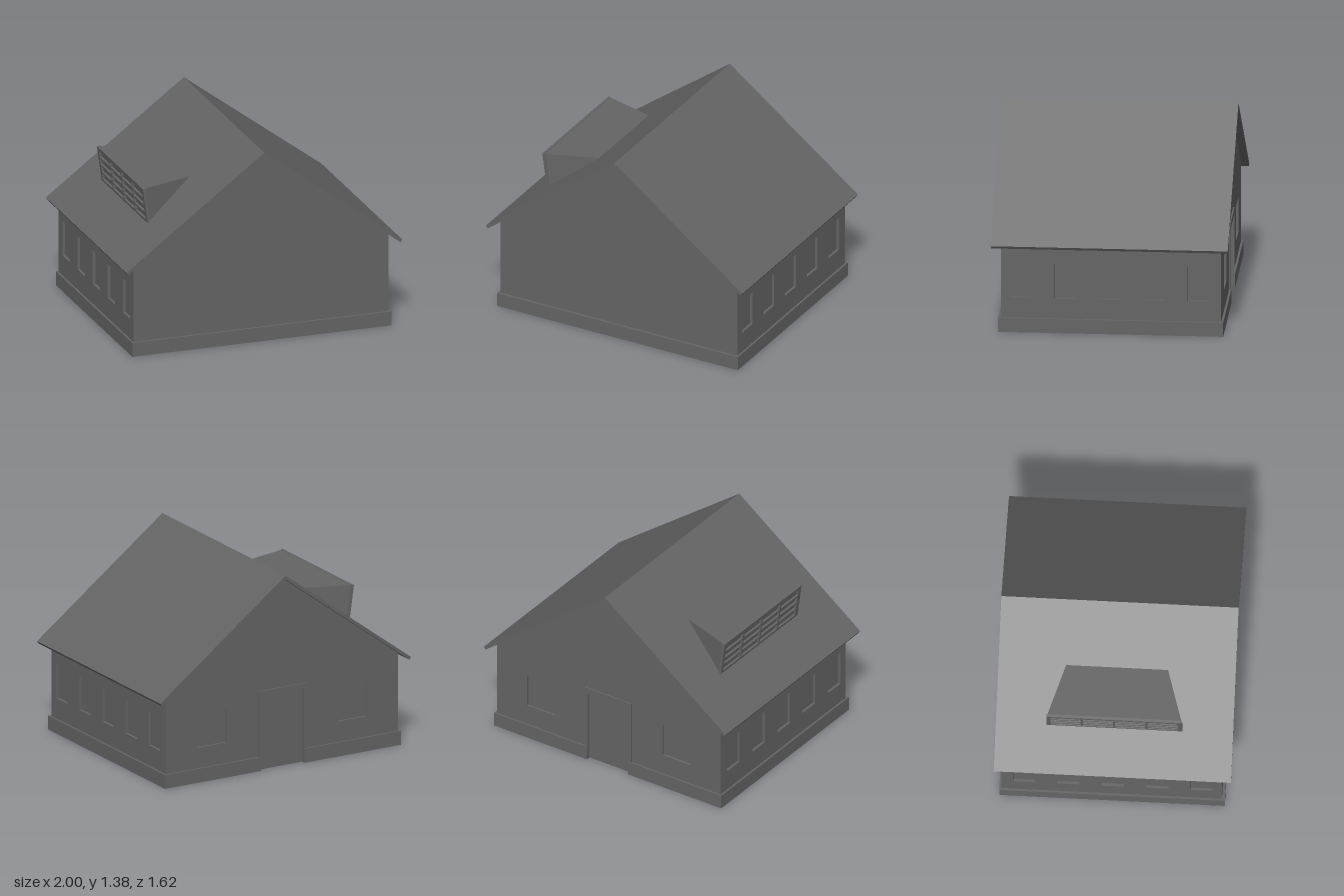
import * as THREE from 'three';

const WALL_X = 0.925, FRONT_Z = 0.745, BACK_Z = -0.76;
const WALL_T = 0.03, BASE_H = 0.1, RIDGE = 1.38, SLOPE = 0.75, ROOF_T = 0.028;
const UNDER = RIDGE - ROOF_T;
const EAVE_Y = UNDER - SLOPE * WALL_X;

export function createModel() {
  const house = new THREE.Group();
  house.name = 'house';
  const grey = new THREE.MeshStandardMaterial({ color: 0x646464, side: THREE.DoubleSide });
  grey.name = 'plain grey';

  const add = (name, geometry, parent = house) => {
    const mesh = new THREE.Mesh(geometry, grey);
    mesh.name = name;
    parent.add(mesh);
    return mesh;
  };
  // Box given by its two opposite corners
  const block = (name, x0, x1, y0, y1, z0, z1, parent) => {
    const mesh = add(name, new THREE.BoxGeometry(x1 - x0, y1 - y0, z1 - z0), parent);
    mesh.position.set((x0 + x1) / 2, (y0 + y1) / 2, (z0 + z1) / 2);
    return mesh;
  };
  const polygon = pts => new THREE.Shape(pts.map(p => new THREE.Vector2(...p)));
  const rect = (x0, x1, y0, y1) => [[x0, y0], [x0, y1], [x1, y1], [x1, y0]];
  const cut = (shape, pts) => shape.holes.push(new THREE.Path(pts.map(p => new THREE.Vector2(...p))));
  const extrude = (shape, depth) => new THREE.ExtrudeGeometry(shape, { depth, bevelEnabled: false });

  // Long side walls with five recessed windows each
  for (const s of [1, -1]) {
    const ends = [s * -FRONT_Z, s * -BACK_Z].sort((a, b) => a - b);
    const shape = polygon(rect(ends[0], ends[1], 0.02, EAVE_Y));
    for (let i = -2; i <= 2; i++) {
      const z = i * 0.303;
      cut(shape, rect(z - 0.075, z + 0.075, 0.245, 0.49));
      block('sideWindowPane', s * 0.902 - 0.004, s * 0.902 + 0.004, 0.24, 0.495, z - 0.08, z + 0.08);
    }
    const geo = extrude(shape, WALL_T).translate(0, 0, WALL_X - WALL_T).rotateY(s * Math.PI / 2);
    add(s > 0 ? 'leftWall' : 'rightWall', geo);
  }

  // Gable walls, the back one with two windows and a doorway
  const gable = [[-WALL_X, 0.02], [WALL_X, 0.02], [WALL_X, EAVE_Y], [0, UNDER], [-WALL_X, EAVE_Y]];
  add('frontWall', extrude(polygon(gable), WALL_T)).position.z = FRONT_Z - WALL_T;
  const doorway = [[-0.17, 0.02], [-0.17, 0.53], [0.17, 0.53], [0.17, 0.02]];
  const back = polygon([gable[0], ...doorway, ...gable.slice(1)]);
  for (const s of [1, -1]) {
    const x = s * 0.56;
    cut(back, rect(x - 0.117, x + 0.117, 0.245, 0.49));
    block('backWindowPane', x - 0.12, x + 0.12, 0.24, 0.495, -0.741, -0.733);
  }
  add('backWall', extrude(back, WALL_T)).position.z = BACK_Z;

  // Door with its surround
  block('door', -0.17, 0.17, 0, 0.53, -0.744, -0.735);
  const surround = polygon([[-0.19, 0], [-0.17, 0], [-0.17, 0.53], [0.17, 0.53],
    [0.17, 0], [0.19, 0], [0.19, 0.57], [-0.19, 0.57]]);
  add('doorSurround', extrude(surround, 0.03)).position.z = -0.77;

  // Plinth, open underneath and broken at the door
  const plinth = new THREE.Group();
  plinth.name = 'plinth';
  house.add(plinth);
  block('frontPlinth', -0.94, 0.94, 0, BASE_H, 0.715, 0.765, plinth);
  for (const s of [1, -1]) {
    block('sidePlinth', s * 0.915 - 0.025, s * 0.915 + 0.025, 0, BASE_H, -0.775, 0.765, plinth);
    block('backPlinth', s * 0.555 - 0.385, s * 0.555 + 0.385, 0, BASE_H, -0.775, -0.73, plinth);
  }

  // Pitched roof slab with square-cut eaves
  const eave = 0.988, eaveY = UNDER - SLOPE * eave;
  const roof = polygon([[0, RIDGE], [-1, RIDGE - SLOPE], [-eave, eaveY], [0, UNDER],
    [eave, eaveY], [1, RIDGE - SLOPE]]);
  add('roof', extrude(roof, 1.62)).position.z = -0.81;

  // Flared dormer: roof, two cheeks and leaning front
  const dormer = new THREE.Group();
  dormer.name = 'dormer';
  house.add(dormer);
  const top = s => [-0.755, 1.09, s * 0.463];
  const foot = s => [-0.72, 0.835, s * 0.463];
  const rear = s => [-0.375, 1.1, s * 0.348];
  const face = (name, ...pts) => {
    const geo = new THREE.BufferGeometry();
    const tris = [];
    for (let i = 1; i < pts.length - 1; i++) tris.push(...pts[0], ...pts[i], ...pts[i + 1]);
    geo.setAttribute('position', new THREE.Float32BufferAttribute(tris, 3));
    geo.computeVertexNormals();
    add(name, geo, dormer);
  };
  face('dormerRoof', top(-1), top(1), rear(1), rear(-1));
  face('dormerCheek', top(1), foot(1), rear(1));
  face('dormerCheek', top(-1), rear(-1), foot(-1));

  // Dormer front: four bays of recessed panes with glazing bars
  const grid = polygon(rect(-0.463, 0.463, 0, 0.257));
  for (let c = 0; c < 4; c++) {
    for (let r = 0; r < 4; r++) {
      const u = -0.435 + c * 0.22, v = 0.022 + r * 0.055;
      cut(grid, rect(u, u + 0.205, v, v + 0.042));
    }
  }
  const front = new THREE.Group();
  front.name = 'dormerFront';
  front.position.set(-0.72, 0.835, 0);
  front.rotation.set(0, -Math.PI / 2, 0);
  dormer.add(front);
  const bars = add('dormerGlazingBars', extrude(grid, 0.02).translate(0, 0, -0.02), front);
  const pane = add('dormerPane', new THREE.PlaneGeometry(0.92, 0.25).translate(0, 0.127, -0.016), front);
  bars.rotation.x = pane.rotation.x = Math.atan2(0.035, 0.255);

  return house;
}
